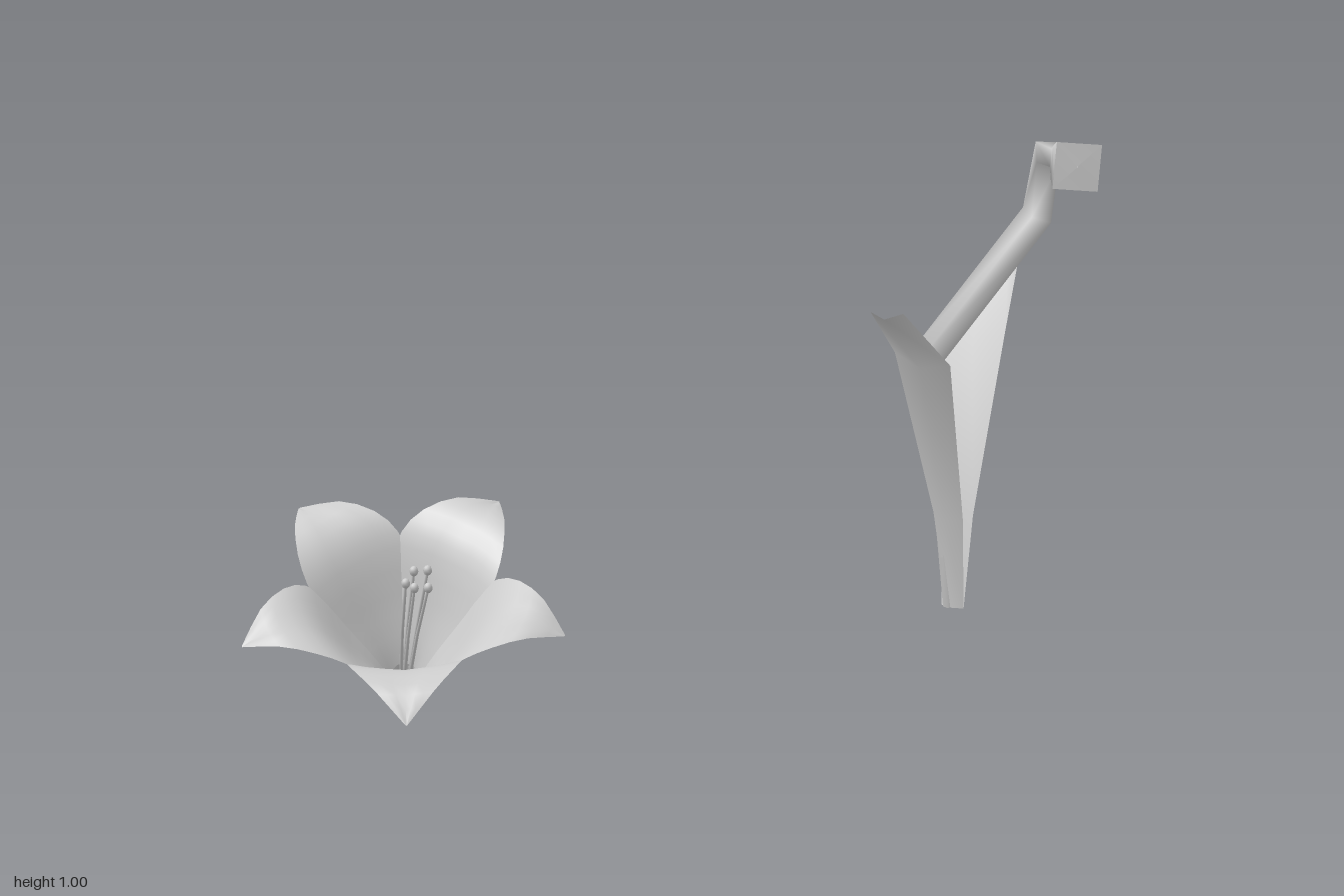
import * as THREE from 'three';

const V = (x, y, z) => new THREE.Vector3(x, y, z);
const material = new THREE.MeshStandardMaterial({ color: 0xcccccc, side: THREE.DoubleSide });

// Smooth surface through rows of points; closed joins each row into a ring
function surface(name, rows, closed = false) {
  const n = rows[0].length, index = [];
  const last = closed ? n : n - 1;
  for (let i = 0; i < rows.length - 1; i++) {
    for (let j = 0; j < last; j++) {
      const k = (j + 1) % n;
      const a = i * n + j, b = i * n + k, c = a + n, d = b + n;
      index.push(a, b, d, a, d, c);
    }
  }
  const geo = new THREE.BufferGeometry().setFromPoints(rows.flat());
  geo.setIndex(index);
  geo.computeVertexNormals();
  const mesh = new THREE.Mesh(geo, material);
  mesh.name = name;
  return mesh;
}

// Rings of given radius along a bent path; corner is the direction of the first vertex
function loft(name, points, radii, sides, corner) {
  let normal = corner;
  const rows = points.map((p, i) => {
    const t = V(0, 0, 0);
    if (i > 0) t.add(p.clone().sub(points[i - 1]).normalize());
    if (i < points.length - 1) t.add(points[i + 1].clone().sub(p).normalize());
    t.normalize();
    normal = normal.clone().addScaledVector(t, -normal.dot(t)).normalize();
    const side = t.clone().cross(normal);
    return Array.from({ length: sides }, (_, j) => {
      const a = (j / sides) * Math.PI * 2;
      return p.clone().addScaledVector(normal, radii[i] * Math.cos(a)).addScaledVector(side, radii[i] * Math.sin(a));
    });
  });
  return surface(name, rows, true);
}

function createStalk() {
  const group = new THREE.Group();
  group.name = 'stalk';

  // Four-sided bent stem, from the flared blunt bud down to the root
  const path = [
    V(0.743, 0.945, 0.308), V(0.77, 0.942, 0.255), V(0.83, 0.932, 0.165), V(0.905, 0.92, 0.05),
    V(0.943, 0.782, -0.02), V(0.727, 0.52, -0.1), V(0.765, 0.16, -0.09), V(0.775, 0.02, -0.09),
  ];
  const corner = V(-0.59, 0.78, -0.2);
  group.add(loft('stem', path, [0.065, 0.047, 0.025, 0.031, 0.032, 0.034, 0.018, 0.013], 4, corner));
  const bud = path[0], inner = path[1].clone().sub(bud).setLength(0.002);
  group.add(loft('budEnd', [bud.clone().sub(inner), bud], [0.001, 0.065], 4, corner));

  // Folded leaves: each row is edge, midrib, edge
  group.add(surface('leftwardLeaf', [
    [V(0.78, 0.02, -0.055), V(0.768, 0.02, -0.075), V(0.775, 0.02, -0.1)],
    [V(0.755, 0.2, -0.03), V(0.737, 0.2, -0.065), V(0.745, 0.2, -0.1)],
    [V(0.665, 0.525, 0.03), V(0.64, 0.515, -0.03), V(0.63, 0.54, -0.09)],
    [V(0.54, 0.643, 0.03), V(0.508, 0.633, 0.01), V(0.5, 0.645, -0.02)],
  ]));
  group.add(surface('rightwardLeaf', [
    [V(0.785, 0.02, -0.06), V(0.79, 0.015, -0.09), V(0.778, 0.02, -0.115)],
    [V(0.805, 0.2, -0.055), V(0.81, 0.2, -0.1), V(0.795, 0.2, -0.138)],
    [V(0.89, 0.55, -0.055), V(0.87, 0.53, -0.125), V(0.845, 0.535, -0.187)],
    [V(1.0, 0.667, -0.135), V(0.998, 0.652, -0.162), V(0.975, 0.668, -0.185)],
  ]));
  group.add(surface('smallLeaf', [
    [V(0.788, 0.03, -0.085), V(0.793, 0.03, -0.1), V(0.782, 0.03, -0.115)],
    [V(0.805, 0.14, -0.1), V(0.81, 0.13, -0.12), V(0.797, 0.14, -0.138)],
    [V(0.818, 0.245, -0.125), V(0.82, 0.24, -0.13), V(0.815, 0.245, -0.136)],
  ]));
  return group;
}

// Blossom is built around +y, with one petal pointing along +z
function createBlossom() {
  const group = new THREE.Group();
  group.name = 'blossom';

  // Petal midline (radius, height) and half width from root to tip
  const mid = new THREE.CatmullRomCurve3([
    V(0.016, 0, 0.012), V(0.05, 0.065, 0.041), V(0.1, 0.138, 0.083), V(0.158, 0.222, 0.112),
    V(0.205, 0.262, 0.103), V(0.268, 0.275, 0.062), V(0.33, 0.242, 0.002),
  ]);
  const rows = [];
  for (let i = 0; i <= 14; i++) {
    const p = mid.getPoint(i / 14), row = [];
    const cup = 0.28 * (1 - i / 18);
    for (let j = -3; j <= 3; j++) {
      const s = j / 3;
      // edges curl inward, with a shallow midrib
      row.push(V(s * p.z, p.y - (j === 0 ? 0.003 : 0), p.x - cup * s * s * p.z));
    }
    rows.push(row);
  }
  for (let k = 0; k < 5; k++) {
    const petal = surface('petal', rows);
    petal.rotation.y = (k / 5) * Math.PI * 2;
    group.add(petal);
  }

  // Swollen base
  const profile = [[0.001, -0.018], [0.016, -0.015], [0.024, 0.005], [0.022, 0.03], [0.024, 0.05]];
  const base = new THREE.Mesh(
    new THREE.LatheGeometry(profile.map(([x, y]) => new THREE.Vector2(x, y)), 10), material);
  base.name = 'blossomBase';
  group.add(base);

  // Slender stamens with rounded tips, leaning to one side
  for (let k = 0; k < 5; k++) {
    const a = ((k + 0.5) / 5) * Math.PI * 2, c = Math.cos(a), s = Math.sin(a);
    const tip = V(0.024 * c - 0.03, 0.29 + 0.01 * (k % 3), 0.024 * s - 0.013);
    const bend = V(0.016 * c - 0.013, 0.16, 0.016 * s - 0.006);
    group.add(loft('filament', [V(0.008 * c, 0.02, 0.008 * s), bend, tip], [0.004, 0.0035, 0.003], 5, V(0, 0, 1)));
    const anther = new THREE.Mesh(new THREE.SphereGeometry(0.009, 8, 6), material);
    anther.name = 'anther';
    anther.scale.set(1, 1.3, 1);
    anther.position.copy(tip);
    group.add(anther);
  }

  // Lean the blossom forward and outward
  const up = V(-0.42, 0.82, 0.415).normalize();
  const back = V(0, 0.46, -0.89);
  const front = back.addScaledVector(up, -back.dot(up)).normalize();
  const side = up.clone().cross(front);
  group.quaternion.setFromRotationMatrix(new THREE.Matrix4().makeBasis(side, up, front));
  group.position.set(-0.628, 0.022, -0.14);
  return group;
}

export function createModel() {
  const model = new THREE.Group();
  model.name = 'flowerAndStalk';
  model.add(createBlossom(), createStalk());
  return model;
}
